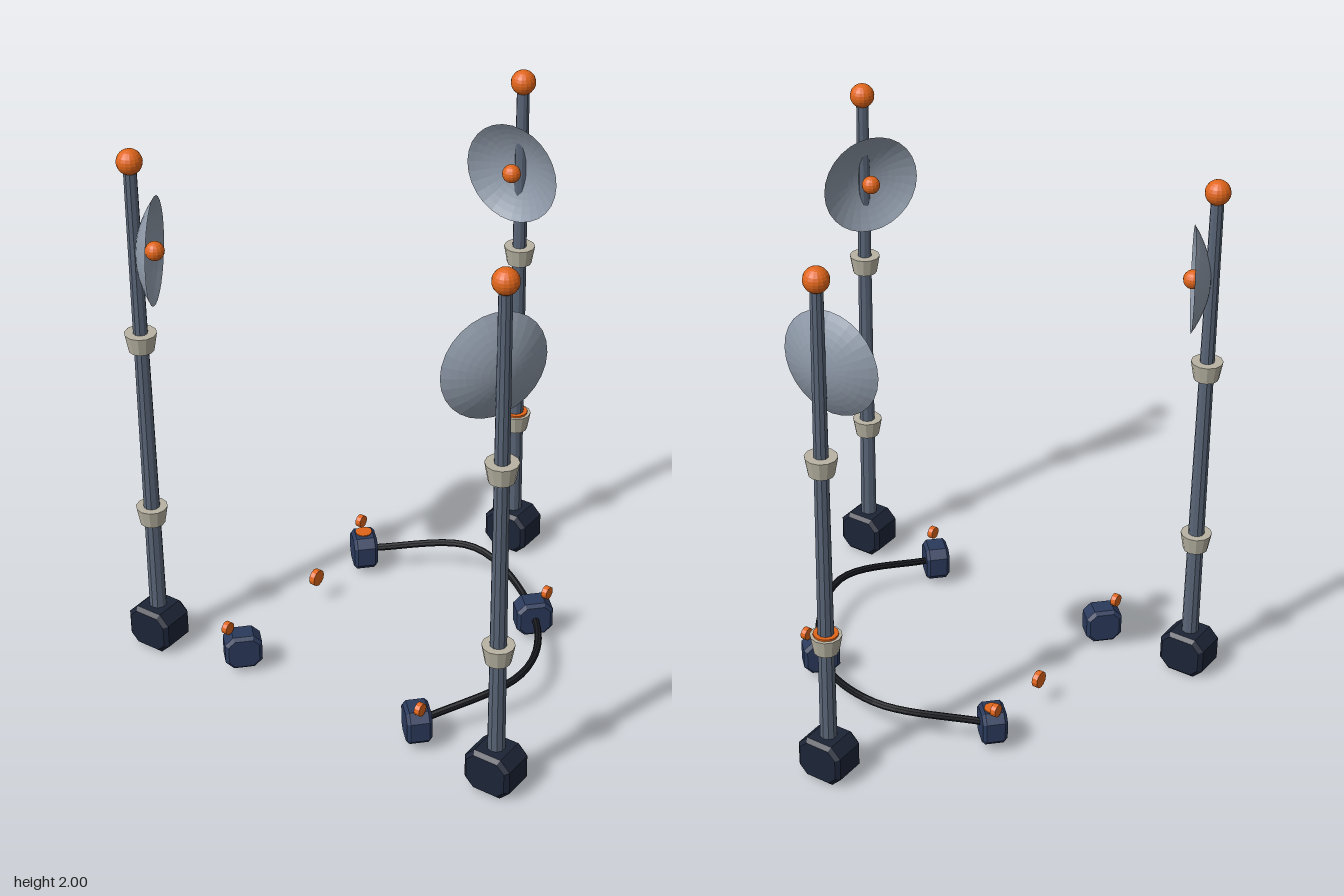
import * as THREE from 'three';

const CENTER_Z = 0.185; // middle of the ring of masts and boxes

const paint = (color, extra = {}) =>
  new THREE.MeshStandardMaterial({ color, flatShading: true, ...extra });

const steel = paint(0x596577);
const baseDark = paint(0x1c2436);
const navy = paint(0x2b3a5c);
const stone = paint(0xb8b3a3);
const orange = paint(0xe0651a);
const dishGrey = paint(0x8e99a8, { side: THREE.DoubleSide });
const cableBlack = paint(0x191b20);

function add(parent, name, geometry, material, x = 0, y = 0, z = 0) {
  const mesh = new THREE.Mesh(geometry, material);
  mesh.name = name;
  mesh.position.set(x, y, z);
  parent.add(mesh);
  return mesh;
}

// Octagonal block with cut corners (w, h), depth d along z and a small bevel
function chamferedBlock(w, h, d, cut, bevel) {
  const a = w / 2 - bevel, b = h / 2 - bevel, c = cut - bevel * 0.6;
  const shape = new THREE.Shape([
    [a, -b + c], [a, b - c], [a - c, b], [-a + c, b],
    [-a, b - c], [-a, -b + c], [-a + c, -b], [a - c, -b],
  ].map(([x, y]) => new THREE.Vector2(x, y)));
  const geometry = new THREE.ExtrudeGeometry(shape, {
    depth: d - 2 * bevel, bevelEnabled: true, bevelSegments: 1,
    bevelSize: bevel, bevelThickness: bevel,
  });
  return geometry.translate(0, 0, -d / 2 + bevel);
}

// Shallow parabolic bowl opening toward +z, apex at the origin
function dishGeometry(radius, depth) {
  const profile = [];
  for (let i = 0; i <= 8; i++) {
    const t = i / 8;
    profile.push(new THREE.Vector2(radius * t, depth * t * t));
  }
  return new THREE.LatheGeometry(profile, 28).rotateX(Math.PI / 2);
}

// Thin disc lying across the x axis
const sideDisc = (radius, width) =>
  new THREE.CylinderGeometry(radius, radius, width, 12).rotateZ(Math.PI / 2);

function createMast(angle) {
  const mast = new THREE.Group();
  mast.name = 'mast';
  mast.position.set(0.85 * Math.sin(angle), 0, CENTER_Z + 0.85 * Math.cos(angle));
  add(mast, 'mastBase', chamferedBlock(0.18, 0.165, 0.14, 0.038, 0.014), baseDark, 0, 0.0825);
  add(mast, 'pole', new THREE.CylinderGeometry(0.023, 0.032, 1.85, 10), steel, 0, 1.03);
  for (const y of [0.56, 1.273])
    add(mast, 'collar', new THREE.CylinderGeometry(0.057, 0.045, 0.068, 12), stone, 0, y);
  add(mast, 'beacon', new THREE.SphereGeometry(0.045, 16, 12), orange, 0, 1.955);

  // Dish and its feed, turned toward the middle of the ring
  const head = new THREE.Group();
  head.name = 'dishHead';
  head.position.y = 1.625;
  head.rotation.y = angle + Math.PI;
  add(head, 'dish', dishGeometry(0.188, 0.062), dishGrey, 0, 0, 0.005);
  add(head, 'dishFeed', new THREE.SphereGeometry(0.034, 14, 10), orange, 0, 0, 0.067);
  mast.add(head);
  return mast;
}

function createJunctionBox(sx, sz) {
  const box = new THREE.Group();
  box.name = 'junctionBox';
  box.position.set(0.382 * sx, 0.087, CENTER_Z + 0.382 * sz);
  // Long side points at the middle of the ring
  const body = add(box, 'boxBody', chamferedBlock(0.135, 0.135, 0.09, 0.03, 0.012), navy);
  body.rotation.y = -sx * sz * Math.PI / 4;
  add(box, 'boxLamp', sideDisc(0.024, 0.021), orange, 0.037 * sx, 0.091, 0.035 * sz);
  return box;
}

export function createModel() {
  const model = new THREE.Group();
  model.name = 'mastArray';

  // Three masts around the ring
  for (const k of [-1, 1, 3]) model.add(createMast(k * Math.PI / 3));

  // Four boxes on the diagonals
  for (const sx of [-1, 1])
    for (const sz of [-1, 1]) model.add(createJunctionBox(sx, sz));

  // Cable linking three of the boxes
  const path = new THREE.CatmullRomCurve3([
    [-0.382, 0.085, -0.2], [0, 0.13, -0.385], [0.382, 0.085, -0.2],
    [0.57, 0.13, 0.185], [0.382, 0.085, 0.567],
  ].map((p) => new THREE.Vector3(...p)));
  add(model, 'cable', new THREE.TubeGeometry(path, 40, 0.0135, 8), cableBlack);

  // Loose orange discs: on a box, on the rear collar and on the ground side
  add(model, 'boxCap', new THREE.CylinderGeometry(0.031, 0.031, 0.02, 14), orange, -0.387, 0.148, -0.203);
  add(model, 'collarRing', new THREE.CylinderGeometry(0.045, 0.045, 0.02, 14), orange, 0, 0.591, CENTER_Z - 0.85);
  add(model, 'looseDisc', sideDisc(0.032, 0.022), orange, -0.398, 0.11, 0.09);
  return model;
}
